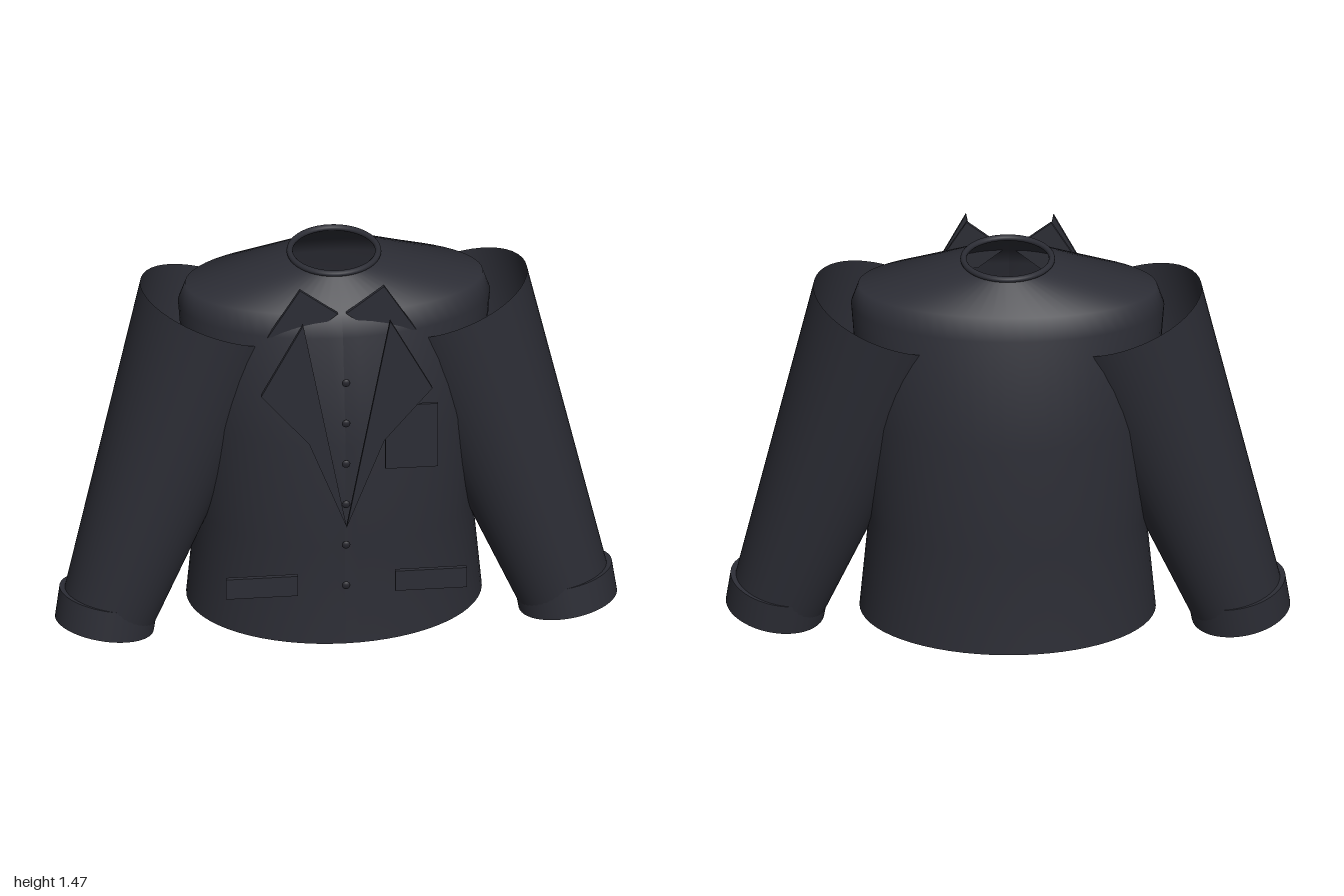
import * as THREE from 'three';

const fabric = new THREE.MeshStandardMaterial({ name: 'charcoal fabric', color: 0x2c2d35, side: THREE.DoubleSide });
const buttonMat = new THREE.MeshStandardMaterial({ name: 'dark button', color: 0x24242b });

function add(parent, name, geometry, material = fabric) {
  const mesh = new THREE.Mesh(geometry, material);
  mesh.name = name;
  parent.add(mesh);
  return mesh;
}

// Elliptical shell: each ring is [y, half width, half depth]
function ellipseLoft(rings, zCentre, segments = 64) {
  const geo = new THREE.LatheGeometry(rings.map(r => new THREE.Vector2(1, r[0])), segments);
  const pos = geo.attributes.position;
  for (let i = 0; i < pos.count; i++) {
    const [y, w, d] = rings[i % rings.length];
    pos.setXYZ(i, pos.getX(i) * w, y, pos.getZ(i) * d + zCentre);
  }
  geo.computeVertexNormals();
  return geo;
}

// Flat plate cut from an outline, mirrored by side
function plate(points, side, z, depth) {
  const shape = new THREE.Shape(points.map(([x, y]) => new THREE.Vector2(x * side, y)));
  return new THREE.ExtrudeGeometry(shape, { depth, bevelEnabled: false }).translate(0, 0, z);
}

// Tube between two points
function tubeBetween(parent, name, top, bottom, rTop, rBottom, open) {
  const axis = top.clone().sub(bottom);
  const geo = new THREE.CylinderGeometry(rTop, rBottom, axis.length(), 48, 1, open);
  const mesh = add(parent, name, geo);
  mesh.position.copy(top).add(bottom).multiplyScalar(0.5);
  mesh.quaternion.setFromUnitVectors(new THREE.Vector3(0, 1, 0), axis.normalize());
  return mesh;
}

export function createModel() {
  const jacket = new THREE.Group();
  jacket.name = 'jacket';

  // Torso, open at hem and neck
  add(jacket, 'torso', ellipseLoft([
    [0.087, 0.525, 0.396], [0.464, 0.49, 0.37], [0.89, 0.525, 0.396],
    [1.287, 0.555, 0.31], [1.36, 0.53, 0.265], [1.46, 0.152, 0.158],
  ], -0.02));

  // Neck rim
  const rim = add(jacket, 'neckRim', new THREE.TorusGeometry(0.157, 0.011, 12, 48));
  rim.rotation.x = Math.PI / 2;
  rim.scale.y = 1.04;
  rim.position.set(0, 1.465, -0.024);

  for (const s of [1, -1]) {
    const side = s > 0 ? 'left' : 'right';

    // Sleeve, open at the shoulder
    tubeBetween(jacket, side + 'Sleeve', new THREE.Vector3(0.413 * s, 1.265, -0.025),
      new THREE.Vector3(0.81 * s, 0.09, 0.045), 0.29, 0.17, true);

    // Closed cuff, tilted less than the sleeve
    tubeBetween(jacket, side + 'Cuff', new THREE.Vector3(0.807 * s, 0.151, 0.04),
      new THREE.Vector3(0.825 * s, 0.037, 0.052), 0.178, 0.177, false);

    // Shirt-style collar point behind the lapel
    add(jacket, side + 'CollarPoint',
      plate([[0.15, 1.47], [0.015, 1.367], [0.11, 1.29], [0.265, 1.285]], s, 0.243, 0.014));

    // Lapel
    add(jacket, side + 'Lapel',
      plate([[0.155, 1.42], [0.0, 0.585], [0.134, 0.933], [0.305, 1.137]], s, 0.402, 0.015));

    // Hip pocket flap
    const flap = add(jacket, side + 'PocketFlap', new THREE.BoxGeometry(0.255, 0.08, 0.016));
    flap.position.set(0.301 * s, 0.35, 0.4);
  }

  // Breast pocket
  const pocket = add(jacket, 'breastPocket', new THREE.BoxGeometry(0.188, 0.257, 0.01));
  pocket.position.set(0.233, 0.937, 0.398);

  // Row of buttons down the front
  for (let i = 0; i < 6; i++) {
    const button = add(jacket, 'button', new THREE.SphereGeometry(0.015, 16, 10), buttonMat);
    button.scale.z = 0.5;
    button.position.set(0, 1.163 - i * 0.1655, 0.394);
  }

  return jacket;
}
